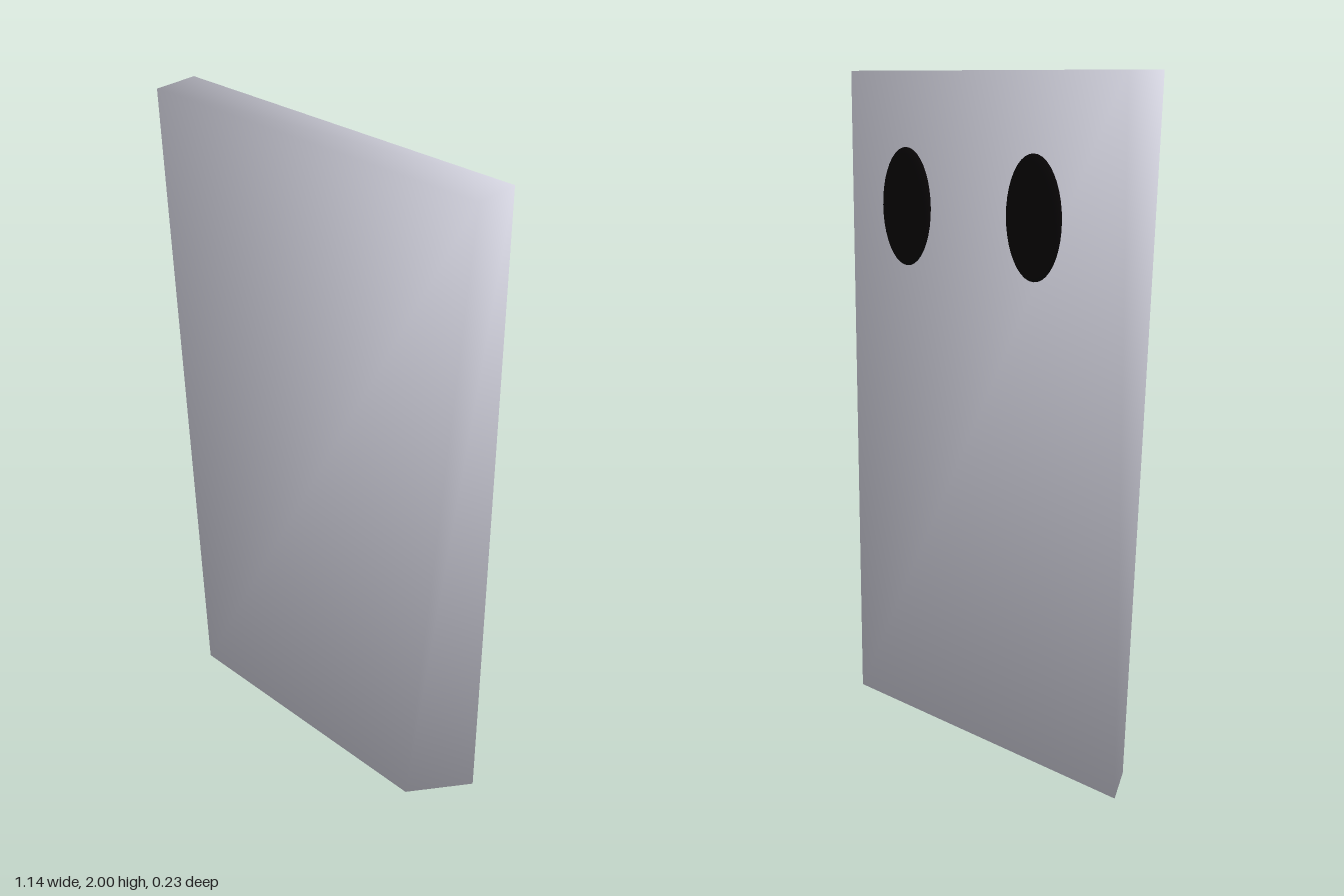
import * as THREE from 'three';
import { mergeVertices } from 'three/addons/utils/BufferGeometryUtils.js';

export function createModel() {
  const model = new THREE.Group();
  const pale = new THREE.MeshStandardMaterial({ color: 0xd6d6e2 });
  const black = new THREE.MeshStandardMaterial({ color: 0x080506 });

  // Slab: a box with shared corners
  const box = new THREE.BoxGeometry(1.14, 2, 0.14);
  box.translate(0, 1, 0.015);
  box.deleteAttribute('normal');
  box.deleteAttribute('uv');
  const slabGeometry = mergeVertices(box);

  // Normals point diagonally out of each corner, for soft shading all round.
  // The two lower front corners are drawn inwards, one also pushed forward.
  const pos = slabGeometry.attributes.position;
  const normals = [];
  for (let i = 0; i < pos.count; i++) {
    const n = new THREE.Vector3(Math.sign(pos.getX(i)), Math.sign(pos.getY(i) - 1), Math.sign(pos.getZ(i)));
    normals.push(...n.normalize().toArray());
    if (n.y < 0 && n.z > 0) {
      if (n.x > 0) pos.setXYZ(i, 0.44, 0, 0.115);
      else pos.setXYZ(i, -0.475, 0, 0.083);
    }
  }
  slabGeometry.setAttribute('normal', new THREE.Float32BufferAttribute(normals, 3));
  const slab = new THREE.Mesh(slabGeometry, pale);
  slab.name = 'slab';
  model.add(slab);

  // Two oval pads on the back, each on a short off-centre stub
  const padGeometry = new THREE.SphereGeometry(1, 32, 20);
  const stubGeometry = new THREE.CylinderGeometry(1, 0.85, 1, 24).rotateX(-Math.PI / 2);
  for (const side of [-1, 1]) {
    const button = new THREE.Group();
    button.name = side > 0 ? 'leftButton' : 'rightButton';
    button.position.set(side * 0.268, 1.607, 0);

    const pad = new THREE.Mesh(padGeometry, black);
    pad.name = 'pad';
    pad.scale.set(0.105, 0.174, 0.028);
    pad.position.z = -0.092;

    const stub = new THREE.Mesh(stubGeometry, black);
    stub.name = 'stub';
    stub.scale.set(0.031, 0.066, 0.042);
    stub.position.set(0.067, 0, -0.072);

    button.add(pad, stub);
    model.add(button);
  }
  return model;
}
